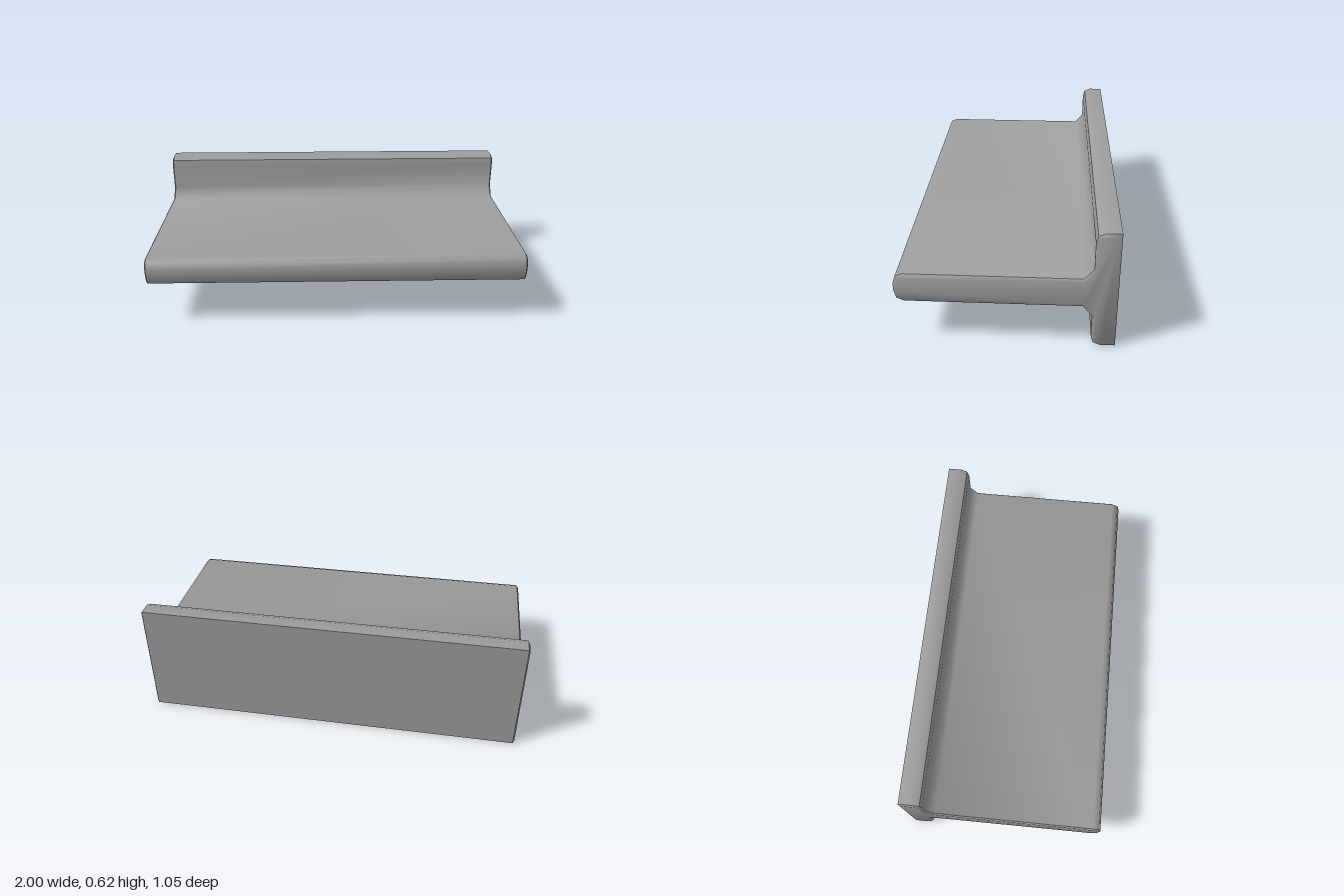
import * as THREE from 'three';
import { toCreasedNormals } from 'three/addons/utils/BufferGeometryUtils.js';

const LENGTH = 2;
const BEVEL_DEPTH = 0.008;
const BEVEL_INSET = 0.0115;

// Side outline as [z, y]: back plate with chamfered front corners, shelf with a rounded nose
const OUTLINE = [
  [-0.525, 0], [-0.453, 0], [-0.418, 0.015], [-0.408, 0.053],
  [-0.408, 0.17], [-0.363, 0.223],
  [0.478, 0.223], [0.513, 0.238], [0.525, 0.28],
  [0.525, 0.316], [0.513, 0.358], [0.478, 0.373],
  [-0.363, 0.373], [-0.408, 0.426],
  [-0.408, 0.562], [-0.418, 0.6], [-0.453, 0.615], [-0.525, 0.615],
];

export function createModel() {
  const group = new THREE.Group();
  group.name = 'wallShelf';

  // The outline is swept along x, with a narrow bevel at both ends
  const shape = new THREE.Shape(OUTLINE.map(([z, y]) => new THREE.Vector2(-z, y)));
  const geometry = new THREE.ExtrudeGeometry(shape, {
    depth: LENGTH - 2 * BEVEL_DEPTH,
    bevelEnabled: true,
    bevelThickness: BEVEL_DEPTH,
    bevelSize: BEVEL_INSET,
    bevelOffset: -BEVEL_INSET,
    bevelSegments: 1,
  });
  geometry.translate(0, 0, BEVEL_DEPTH - LENGTH / 2);
  geometry.rotateY(Math.PI / 2);

  // Smooth around the outline, sharp at the back edges and where the end bevels begin
  const shelf = new THREE.Mesh(
    toCreasedNormals(geometry, 0.9),
    new THREE.MeshStandardMaterial({ color: 0x9c9c9c }),
  );
  shelf.name = 'shelfWithBackPlate';
  group.add(shelf);
  return group;
}
